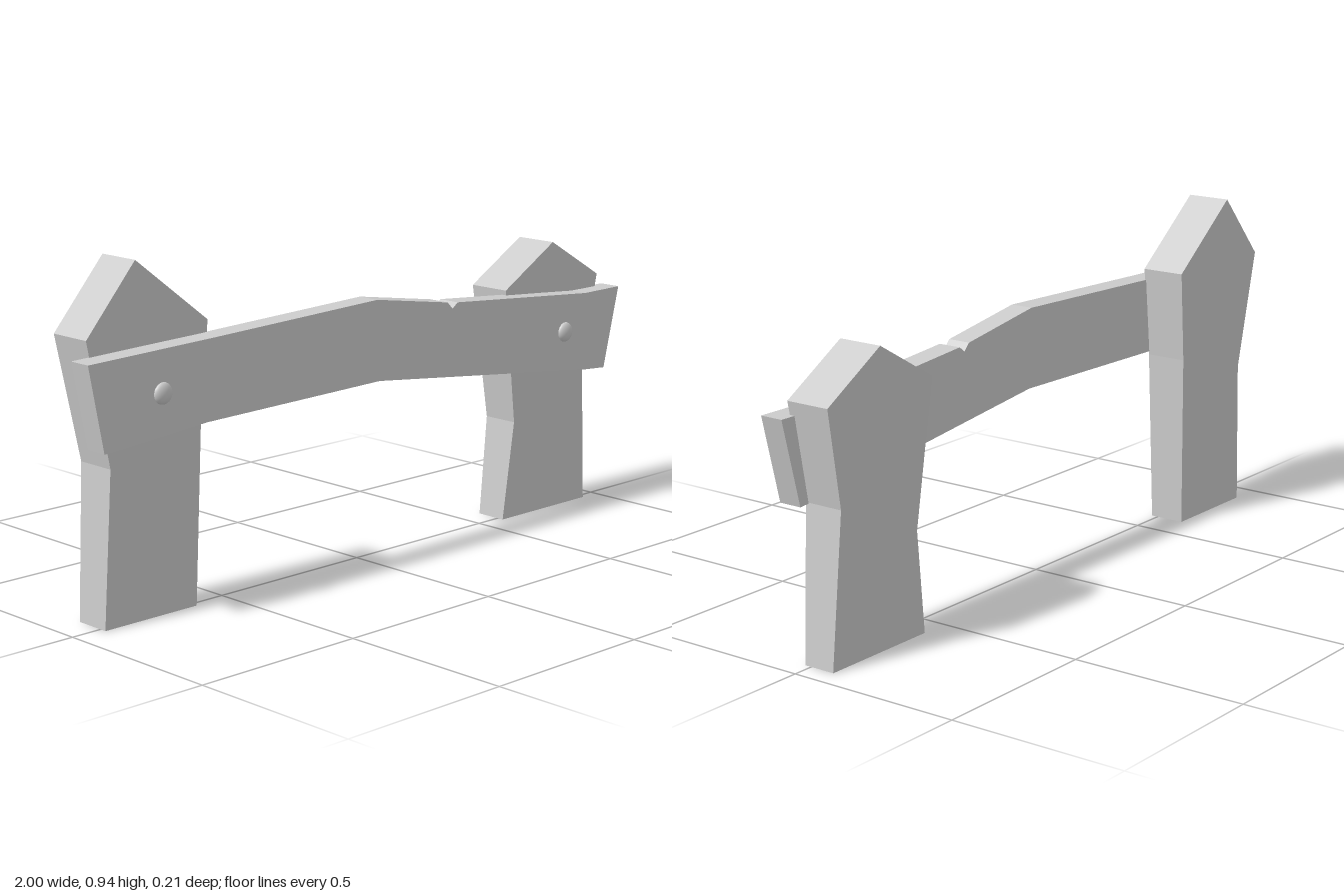
import * as THREE from 'three';

const material = new THREE.MeshStandardMaterial({ color: 0xcccccc });

// Extrudes an outline; front(y) and back(y) give the z of each face at a height
function plank(name, points, front, back) {
  const shape = new THREE.Shape(points.map(([x, y]) => new THREE.Vector2(x, y)));
  const geometry = new THREE.ExtrudeGeometry(shape, { depth: 1, bevelEnabled: false });
  const pos = geometry.attributes.position;
  for (let i = 0; i < pos.count; i++) {
    const y = pos.getY(i);
    pos.setZ(i, pos.getZ(i) > 0.5 ? front(y) : back(y));
  }
  geometry.computeVertexNormals();
  const mesh = new THREE.Mesh(geometry, material);
  mesh.name = name;
  return mesh;
}

// Straight taper from the foot up to the shoulder, constant above it
const taper = (foot, top, shoulder) => (y) =>
  THREE.MathUtils.lerp(foot, top, Math.min(y / shoulder, 1));

export function createModel() {
  const group = new THREE.Group();
  group.name = 'fence';

  // Pointed posts
  group.add(plank('rightPost', [
    [-0.91, 0], [-0.605, 0], [-0.585, 0.5], [-0.56, 0.76],
    [-0.795, 0.943], [-0.955, 0.76], [-0.885, 0.42],
  ], taper(0.02, 0.027, 0.76), taper(-0.085, -0.102, 0.76)));

  group.add(plank('leftPost', [
    [0.58, 0], [0.94, 0], [0.91, 0.42], [0.96, 0.69],
    [0.76, 0.808], [0.56, 0.69], [0.615, 0.29],
  ], taper(0.02, 0.039, 0.69), taper(-0.073, -0.091, 0.69)));

  // Bent rail with a small notch in its top edge
  group.add(plank('rail', [
    [-0.955, 0.483], [-0.62, 0.509], [0, 0.52], [0.86, 0.421], [0.94, 0.415],
    [1, 0.653], [0.85, 0.652], [0.305, 0.697], [0.285, 0.682], [0.265, 0.702],
    [-0.01, 0.746], [-0.6, 0.726], [-1, 0.715],
  ], () => 0.09, () => 0.023));

  // Domed nail heads
  for (const [name, x, y] of [['rightNail', -0.765, 0.608], ['leftNail', 0.762, 0.548]]) {
    const dome = new THREE.SphereGeometry(0.029, 20, 8, 0, Math.PI * 2, 0, Math.PI / 2);
    dome.scale(1, 0.5, 1).rotateX(Math.PI / 2);
    const nail = new THREE.Mesh(dome, material);
    nail.name = name;
    nail.position.set(x, y, 0.09);
    group.add(nail);
  }

  return group;
}
